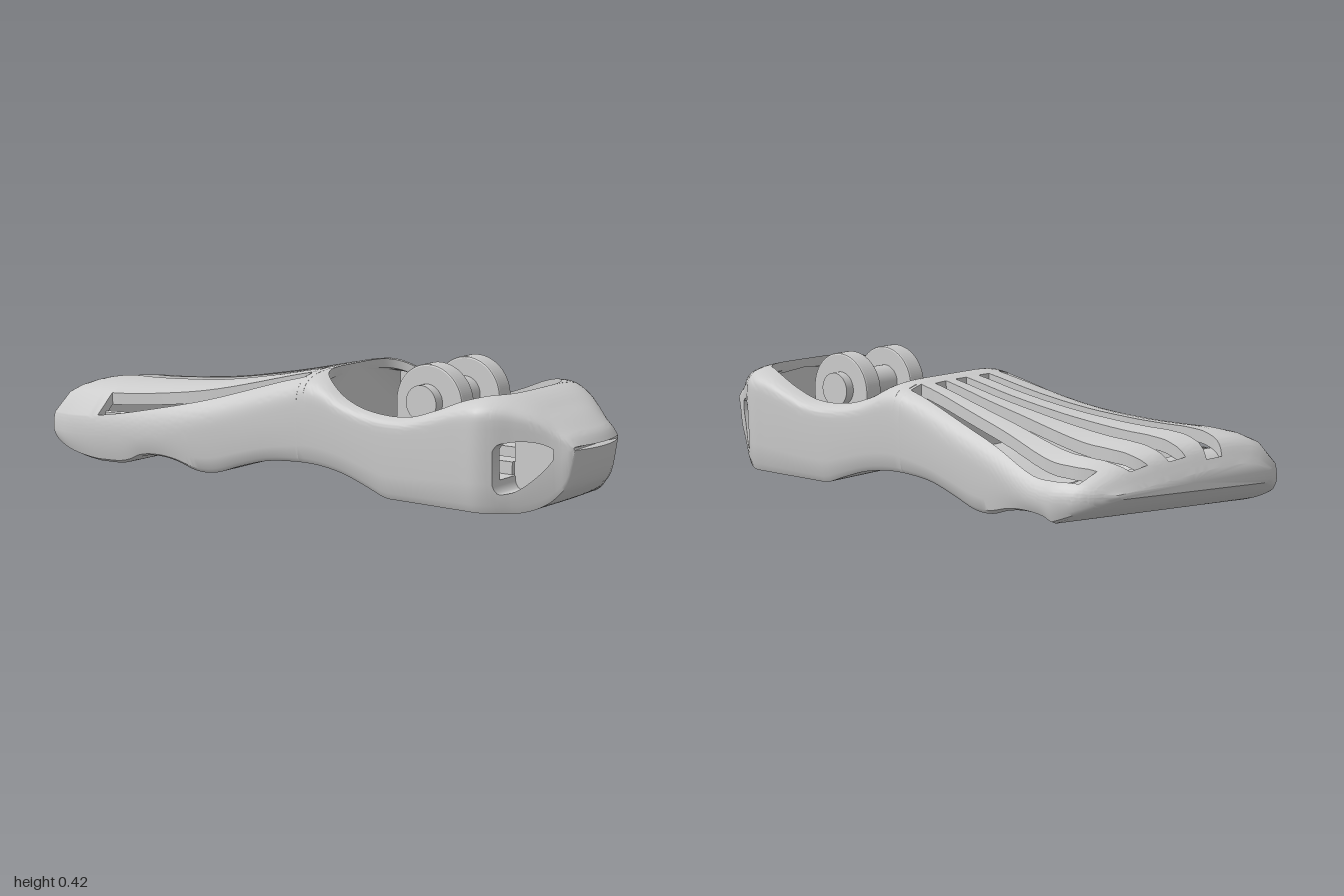
import * as THREE from 'three';
import { toCreasedNormals } from 'three/addons/utils/BufferGeometryUtils.js';

const mat = new THREE.MeshStandardMaterial({ color: 0xcccccc });
const shellMat = new THREE.MeshStandardMaterial({ color: 0xcccccc, side: THREE.DoubleSide });
const { smoothstep, lerp, clamp } = THREE.MathUtils;

// smooth curve through [t, value] pairs
function curve(...pairs) {
  const f = new THREE.CubicInterpolant(pairs.map(p => p[0]), pairs.map(p => p[1]), 1);
  return t => f.evaluate(t)[0];
}

// outline, top, underside and shoulder of the foot along its length (toe -1, heel +1)
const left = curve([-1, -0.28], [-0.97, -0.335], [-0.9, -0.362], [-0.8, -0.363], [-0.6, -0.342], [-0.4, -0.325],
  [-0.2, -0.3], [0, -0.285], [0.2, -0.283], [0.5, -0.289], [0.66, -0.293], [0.72, -0.293], [0.76, -0.275], [0.82, -0.228], [0.9, -0.17], [0.965, -0.135]);
const right = curve([-1, 0.24], [-0.97, 0.31], [-0.9, 0.352], [-0.8, 0.357], [-0.6, 0.35], [-0.4, 0.336],
  [-0.2, 0.32], [0, 0.302], [0.2, 0.304], [0.5, 0.313], [0.66, 0.316], [0.72, 0.313], [0.76, 0.288], [0.82, 0.24], [0.9, 0.175], [0.965, 0.135]);
const top = curve([-1, 0.15], [-0.97, 0.212], [-0.92, 0.245], [-0.85, 0.256], [-0.75, 0.26], [-0.6, 0.27], [-0.4, 0.288],
  [-0.2, 0.32], [0, 0.36], [0.06, 0.37], [0.12, 0.355], [0.2, 0.312], [0.3, 0.28], [0.45, 0.275], [0.55, 0.307],
  [0.65, 0.345], [0.73, 0.355], [0.8, 0.34], [0.885, 0.295], [0.93, 0.257], [0.95, 0.237], [0.965, 0.212]);
const sole = curve([-0.8, 0], [-0.75, 0], [-0.68, 0.002], [-0.64, 0.012], [-0.6, 0.032], [-0.52, 0.04],
  [-0.45, 0.03], [-0.37, 0.006], [-0.3, 0.006], [-0.2, 0.038], [-0.1, 0.065], [0, 0.075], [0.1, 0.075], [0.2, 0.06],
  [0.3, 0.028], [0.38, 0], [0.5, 0], [0.7, 0], [0.82, 0], [0.885, 0.022], [0.925, 0.058], [0.95, 0.11], [0.965, 0.2]);
const toeLift = curve([-1, 0.1], [-0.95, 0.06], [-0.85, 0.018], [-0.75, 0], [-0.6, 0]);
const shoulder = curve([-1, 0.115], [-0.95, 0.095], [-0.85, 0.085], [-0.6, 0.1], [-0.3, 0.15], [0, 0.22], [0.06, 0.24],
  [0.3, 0.21], [0.45, 0.21], [0.65, 0.25], [0.75, 0.26], [0.85, 0.255], [0.92, 0.225], [0.965, 0.206]);
const power = curve([-1, 2.5], [-0.6, 2.4], [-0.3, 2.8], [0, 4], [0.3, 4.5], [0.8, 4], [0.965, 4]);
const tilt = curve([-1, 0.14], [-0.8, 0.14], [-0.6, 0.1], [-0.3, 0.03], [0, 0], [1, 0]);
// lower and upper window edges, as a share of the side height
const windowLow = curve([0.765, 0.36], [0.775, 0.26], [0.8, 0.24], [0.85, 0.34], [0.9, 0.56], [0.92, 0.72]);
const windowHigh = curve([0.765, 0.72], [0.775, 0.8], [0.8, 0.84], [0.85, 0.87], [0.9, 0.88], [0.92, 0.85]);
const WINDOW = [0.768, 0.915], CAVITY = [0.06, 0.935], HOLLOW = [-0.93, 0.005], WALL = 0.04, HEEL = 0.965;
const inside = (t, [a, b]) => t > a && t < b;

// the toe end is cut on a slant, the heel end bulges
const zAt = (x, t) => t + (1 - smoothstep(t, -0.95, -0.3)) * 0.37 * (x + 0.28)
  + 0.035 * smoothstep(t, 0.85, HEEL) * Math.max(0, 1 - (x / 0.15) ** 2);

// outer cross-section, or the inner one when a wall thickness is given
function section(t, wall) {
  const L = left(t), R = right(t), c = (L + R) / 2, outer = (R - L) / 2, h = outer - wall;
  const T = top(t), S = shoulder(t), p = power(t);
  const low = s => wall + Math.max(toeLift(t), sole(t < 0 ? zAt(c + s * h, t) : t));
  const dome = x => S + (T - tilt(t) * x - S) * Math.pow(Math.max(0, 1 - Math.abs((x - c) / outer) ** p), 1 / p);
  const least = wall ? Math.max(low(1), low(-1)) + 0.01 : 0;
  const topY = x => Math.max(least, dome(x) - wall);
  const sideX = (s, f) => c + s * h * (1 - 0.04 * (1 - f) ** 2);
  const sideY = (s, f) => lerp(low(s), Math.max(least, S - wall), f);
  return { c, h, outer, wall, low, topY, sideX, sideY };
}

// points up one flank; the window edges step inwards where the window is open
function flank(t, q, s) {
  const lo = windowLow(t), hi = windowHigh(t), open = inside(t, WINDOW);
  const d = open ? s * WALL : 0;
  const at = (f, inset = 0) => [q.sideX(s, f) - inset, q.sideY(s, f), false];
  const pts = [[q.c + s * q.h * 0.93, q.low(s)], at(0.1), at(lo), at(lo, d), at(hi, d), at(hi)];
  pts[s > 0 ? 3 : 4][2] = open;
  return pts;
}

// slots in the forefoot: path across the width (-1..1), half width, front and rear end
const grooves = [
  { u: curve([-1, 0.82], [-0.7, 0.84], [0, 0.75]), w: 0.085, ends: [-0.93, 0.025] },
  { u: curve([-1, 0.5], [-0.7, 0.5], [0, 0.42]), w: 0.09, ends: [-0.97, 0.005] },
  { u: curve([-1, 0.12], [-0.7, 0.1], [0, 0.08]), w: 0.09, ends: [-0.975, 0.005] },
  { u: curve([-1, -0.27], [-0.7, -0.28], [0, -0.31]), w: 0.09, ends: [-0.985, 0.005] },
  { u: curve([-1, -0.9], [-0.75, -0.89], [-0.4, -0.82], [0, -0.73]), w: 0.08, ends: [-0.75, 0.025] },
];

// each slot cuts the wall and opens into the hollow inside
function grooveSlots(t, q) {
  return grooves.map(g => {
    const [a, b] = [g.w, -g.w].map(w => q.c + clamp(q.outer * (g.u(t) + w), -q.h * 0.985, q.h * 0.985));
    const ya = q.topY(a), yb = q.topY(b), cut = inside(t, g.ends);
    const least = Math.max(q.low(1), q.low(-1)) + 0.01;
    const drop = y => cut && !q.wall ? Math.max(Math.min(y, least), y - WALL) : y;
    return [[a, ya], [a, drop(ya), cut && inside(t, HOLLOW)], [b, drop(yb)], [b, yb]];
  });
}

// ankle well: rounded opening with a lip, wider below, reaching back into the heel
function wellSlot(t, q) {
  const v = Math.abs((t - 0.41) / 0.35);
  const w = v < 1 ? 0.252 * (1 - v ** 4) ** 0.25 : 0;
  const open = inside(t, CAVITY), hole = inside(t, WINDOW), floor = Math.max(0.1, q.low(1) + 0.05);
  const half = s => {
    const x = (t > 0.7 ? q.c : 0.005) + s * w, y = q.topY(x);
    if (!open) return Array.from({ length: 6 }, () => [x, y]);
    const wall = f => [q.sideX(s, f) - s * WALL, Math.max(hole ? 0 : floor, q.sideY(s, f)), false];
    const xs = q.sideX(s, 1) - s * WALL, hi = wall(windowHigh(t)), lo = wall(windowLow(t));
    (s > 0 ? hi : lo)[2] = hole;
    return [[x, y], [x, y - 0.03], [xs, Math.min(y, q.topY(xs)) - 0.035], hi, lo, [lo[0], Math.min(floor, lo[1])]];
  };
  return [[...half(1), ...half(-1).reverse()]];
}

// full ring: right flank, top with its slots, left flank, underside
function ring(t, slotsAt, wall) {
  const q = section(t, wall), slots = slotsAt(t, q), pts = flank(t, q, 1);
  const put = x => pts.push([x, q.topY(x)]);
  const R = q.c + q.h, L = q.c - q.h, n = 12;
  const x1 = slots[0][0][0], x0 = slots.at(-1).at(-1)[0];
  for (let i = 0; i < n; i++) put(R + (x1 - R) * (i / n) ** 2.5);
  slots.forEach((s, k) => {
    pts.push(...s);
    if (k + 1 < slots.length) for (let i = 1; i < 4; i++) put(lerp(s.at(-1)[0], slots[k + 1][0][0], i / 4));
  });
  for (let i = n - 1; i >= 0; i--) put(L + (x0 - L) * (i / n) ** 2.5);
  pts.push(...flank(t, q, -1).reverse());
  // underside, so that it follows the heel bulge
  const a = pts.at(-1), b = pts[0];
  for (let i = 1; i < 8; i++) pts.push([lerp(a[0], b[0], i / 8), lerp(a[1], b[1], i / 8)]);
  return pts.map(([x, y, flag]) => ({ p: [x, y, zAt(x, t)], flag }));
}

function loft(name, ts, slotsAt, { wall = 0, capToe = false, capHeel = false }) {
  const rings = [...new Set(ts)].sort((a, b) => a - b).map(t => ring(t, slotsAt, wall)), n = rings[0].length;
  const pos = rings.flatMap(r => r.flatMap(v => v.p)), index = [];
  for (let i = 0; i + 1 < rings.length; i++) for (let j = 0; j < n; j++) {
    if (rings[i][j].flag && rings[i + 1][j].flag) continue;
    const k = (j + 1) % n, a = i * n + j, b = i * n + k;
    index.push(a, b, b + n, a, b + n, a + n);
  }
  const cap = (i, toe) => {
    const centre = pos.length / 3;
    pos.push(...[0, 1, 2].map(c => rings[i].reduce((s, v) => s + v.p[c], 0) / n));
    for (let j = 0; j < n; j++) {
      const a = i * n + j, b = i * n + (j + 1) % n;
      index.push(...(toe ? [b, a, centre] : [a, b, centre]));
    }
  };
  if (capToe) cap(0, true);
  if (capHeel) cap(rings.length - 1, false);
  const geo = new THREE.BufferGeometry();
  geo.setAttribute('position', new THREE.Float32BufferAttribute(pos, 3));
  geo.setIndex(index);
  const mesh = new THREE.Mesh(toCreasedNormals(geo, 0.6), shellMat);
  mesh.name = name;
  return mesh;
}

const span = (a, b, n) => Array.from({ length: n + 1 }, (_, i) => a + (b - a) * i / n);
const steps = ends => ends.flatMap(e => [e - 0.0006, e + 0.0006]);

export function createModel() {
  const foot = new THREE.Group();
  foot.name = 'foot';
  const add = (name, geo, x, y, z) => {
    const m = new THREE.Mesh(geo, mat);
    m.name = name;
    m.position.set(x, y, z);
    foot.add(m);
  };

  // forefoot shell with its inner wall, then the rear shell
  const JOIN = 0.035, slotEnds = steps([...new Set(grooves.flatMap(g => g.ends))]);
  foot.add(loft('forefoot', [...span(-1, JOIN, 64), ...span(-0.999, -0.93, 8), ...slotEnds], grooveSlots, { capToe: true }));
  const lining = [...span(...HOLLOW, 60), ...slotEnds].filter(t => inside(t, [-0.931, 0.006]));
  foot.add(loft('forefootLining', lining, grooveSlots, { wall: WALL, capToe: true, capHeel: true }));
  const wellEnds = span(0, Math.PI, 44).map(a => 0.41 - 0.35 * Math.cos(a));
  foot.add(loft('heelAndAnkleWell', [JOIN, ...wellEnds, ...span(0.765, HEEL, 30), ...steps([...CAVITY, ...WINDOW])], wellSlot, { capHeel: true }));

  // solid core between the two heel windows
  const core = new THREE.Shape([[0.765, 0.05], [0.85, 0.05], [0.91, 0.09], [0.91, 0.24], [0.84, 0.298], [0.765, 0.325]]
    .map(p => new THREE.Vector2(...p)));
  add('heelCore', new THREE.ExtrudeGeometry(core, { depth: 0.27, bevelEnabled: false }).translate(0, 0, -0.135).rotateY(-Math.PI / 2), 0, 0, 0);

  // two round-topped lugs on rails, joined by the ankle pin
  const lug = new THREE.Shape();
  lug.moveTo(-0.125, 0.09);
  lug.lineTo(0.125, 0.09);
  lug.lineTo(0.125, 0.29);
  lug.absarc(0, 0.29, 0.125, 0, Math.PI, false);
  lug.closePath();
  const lugGeo = new THREE.ExtrudeGeometry(lug, { depth: 0.058, bevelThickness: 0.006, bevelSize: 0.006, bevelOffset: -0.006, bevelSegments: 2, curveSegments: 32 });
  lugGeo.translate(0, 0, -0.029).rotateY(Math.PI / 2);
  for (const x of [-0.098, 0.118]) {
    add('ankleLug', lugGeo, x, 0, 0.445);
    add('floorRail', new THREE.BoxGeometry(0.07, 0.05, 0.67), x, 0.115, 0.42);
  }
  const pin = new THREE.CylinderGeometry(0.057, 0.057, 0.355, 40).rotateZ(Math.PI / 2);
  add('anklePin', pin, 0.008, 0.295, 0.44);
  return foot;
}
